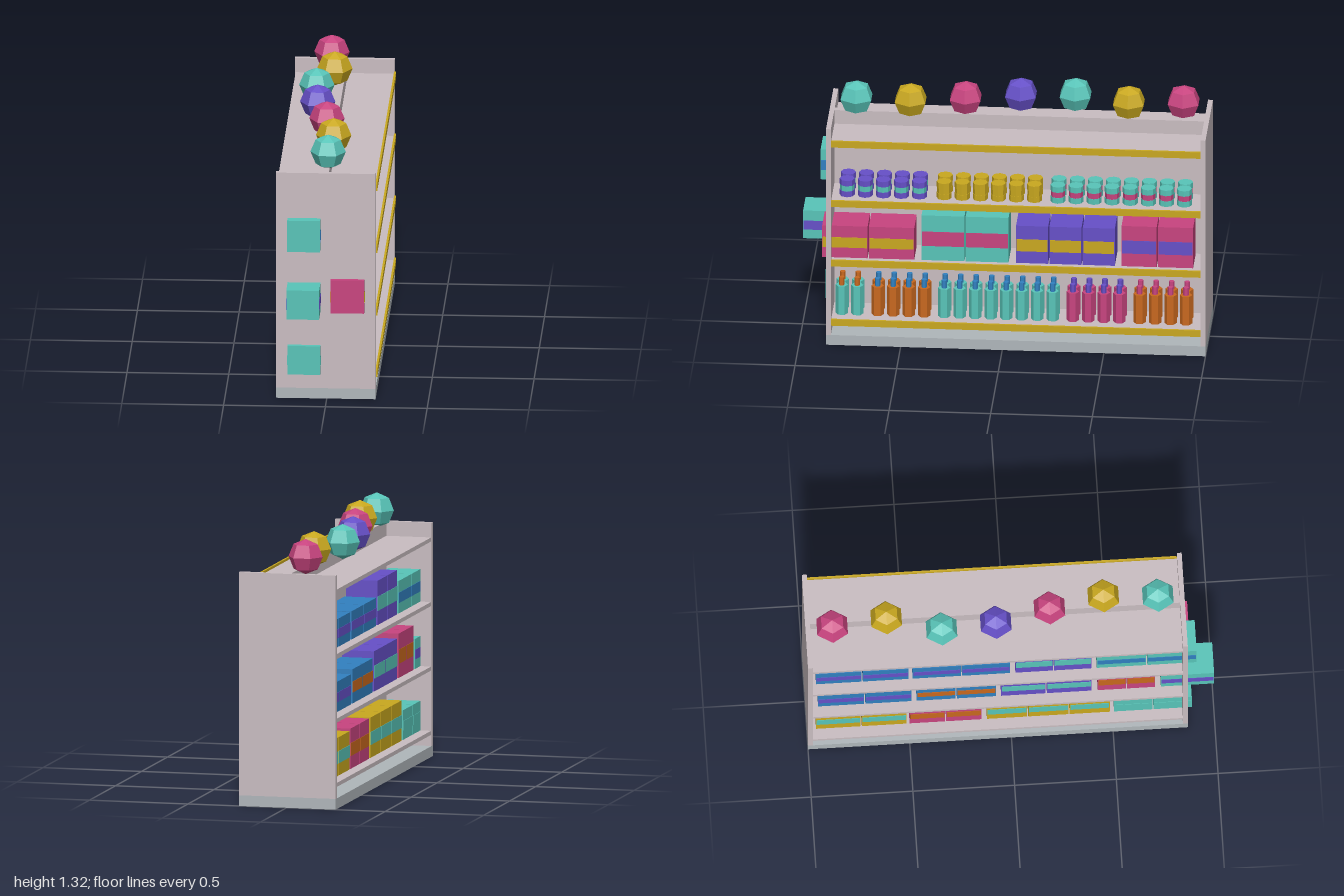
import * as THREE from 'three';

const COLORS = {
  panel: 0xc9bdc1, base: 0xafb6ba, teal: 0x58c4b8, yellow: 0xc9a81f,
  magenta: 0xc8447f, purple: 0x6650c8, blue: 0x3180c0, orange: 0xc8681e,
};

export function createModel() {
  const root = new THREE.Group();
  root.name = 'shopShelf';
  const mats = {};
  for (const [name, color] of Object.entries(COLORS)) {
    mats[name] = new THREE.MeshStandardMaterial({ color, flatShading: true });
    mats[name].name = name;
  }

  const add = (parent, name, geo, color, x = 0, y = 0, z = 0) => {
    const m = new THREE.Mesh(geo, mats[color]);
    m.name = name;
    m.position.set(x, y, z);
    parent.add(m);
    return m;
  };
  // Box given by its minimum and maximum along each axis
  const span = (parent, name, color, x0, x1, y0, y1, z0, z1) =>
    add(parent, name, new THREE.BoxGeometry(x1 - x0, y1 - y0, z1 - z0), color,
      (x0 + x1) / 2, (y0 + y1) / 2, (z0 + z1) / 2);
  const group = (name) => {
    const g = new THREE.Group();
    g.name = name;
    root.add(g);
    return g;
  };

  const MID = -0.005, HALF = 0.245, TOP = 1.16;
  const BACK = -1, FRONT = 0.867, T = 0.024;
  const LEVELS = [0.128, 0.447, 0.767, 1.087];

  // Frame: base, centre wall and paired end panels
  const frame = group('frame');
  span(frame, 'base', 'base', MID - HALF, MID + HALF, 0, 0.053, BACK, FRONT);
  span(frame, 'centreWall', 'panel', -0.02, 0.01, 0.053, TOP, BACK + T, FRONT - T);
  for (const [x0, x1] of [[MID - HALF, MID], [MID, MID + HALF]]) {
    span(frame, 'backEndPanel', 'panel', x0, x1, 0.053, TOP, BACK, BACK + T);
    span(frame, 'frontEndPanel', 'panel', x0, x1, 0.053, TOP, FRONT - T, FRONT);
  }

  // Shelves on both sides, price rails on the left side only
  for (const y of LEVELS) {
    span(frame, 'leftShelf', 'panel', 0.01, 0.237, y - 0.02, y, BACK + T, FRONT - T);
    span(frame, 'rightShelf', 'panel', -0.247, -0.02, y - 0.02, y, BACK + T, FRONT - T);
    span(frame, 'priceRail', 'yellow', 0.237, 0.247, y - 0.022, y + 0.012, -0.976, 0.843);
  }

  // Cartons: [colour, band colour, height, z start, z end, count]
  const cartons = (name, level, x0, x1, rows) => {
    const g = group(name);
    const y = LEVELS[level];
    for (const [color, band, h, z0, z1, n] of rows) {
      const step = (z1 - z0) / n;
      for (let i = 0; i < n; i++) {
        const a = z0 + i * step + 0.003, b = z0 + (i + 1) * step - 0.003;
        span(g, 'carton', color, x0, x1, y, y + h, a, b);
        for (const x of [x0, x1]) {
          span(g, 'cartonBand', band, x - 0.002, x + 0.002,
            y + h * 0.32, y + h * 0.64, a + 0.003, b - 0.003);
        }
      }
    }
  };
  cartons('leftCartons', 1, 0.02, 0.185, [
    ['magenta', 'yellow', 0.17, 0.434, 0.893, 2],
    ['teal', 'magenta', 0.24, -0.03, 0.404, 2],
    ['purple', 'yellow', 0.2, -0.553, -0.061, 3],
    ['magenta', 'purple', 0.216, -0.938, -0.58, 2],
  ]);
  const RX0 = -0.192, RX1 = -0.031;
  cartons('rightLowerCartons', 0, RX0, RX1, [
    ['yellow', 'teal', 0.19, -0.96, -0.51, 2],
    ['magenta', 'orange', 0.2, -0.5, -0.14, 2],
    ['yellow', 'teal', 0.2, -0.12, 0.49, 3],
    ['teal', 'teal', 0.147, 0.505, 0.893, 2],
  ]);
  cartons('rightMiddleCartons', 1, RX0, RX1, [
    ['blue', 'purple', 0.15, -0.95, -0.485, 2],
    ['blue', 'orange', 0.17, -0.465, -0.07, 2],
    ['purple', 'teal', 0.2, -0.05, 0.4, 2],
    ['magenta', 'orange', 0.22, 0.425, 0.713, 2],
    ['teal', 'purple', 0.149, 0.735, 1.003, 1],
  ]);
  cartons('rightUpperCartons', 2, RX0, RX1, [
    ['blue', 'purple', 0.14, -0.96, -0.5, 2],
    ['blue', 'purple', 0.14, -0.485, 0, 2],
    ['purple', 'teal', 0.22, 0.02, 0.4, 2],
    ['teal', 'blue', 0.161, 0.42, 0.917, 2],
  ]);

  // Bottles: [colour, neck colour, first z, count], two rows deep
  const bottles = group('bottles');
  const bodyGeo = new THREE.CylinderGeometry(0.031, 0.031, 0.152, 6);
  const neckGeo = new THREE.CylinderGeometry(0.014, 0.014, 0.042, 6);
  for (const [color, neck, z0, n] of [
    ['teal', 'orange', 0.797, 2], ['orange', 'blue', 0.62, 4], ['teal', 'blue', 0.293, 8],
    ['magenta', 'purple', -0.34, 4], ['orange', 'magenta', -0.668, 4],
  ]) {
    for (let i = 0; i < n; i++) {
      for (const x of [0.065, 0.135]) {
        const z = z0 - i * 0.0762;
        add(bottles, 'bottleBody', bodyGeo, color, x, LEVELS[0] + 0.076, z);
        add(bottles, 'bottleNeck', neckGeo, neck, x, LEVELS[0] + 0.172, z);
      }
    }
  }

  // Cans with a middle band: [colour, band colour, first z, count], two rows deep
  const cans = group('cans');
  const canGeo = new THREE.CylinderGeometry(0.037, 0.037, 0.029, 8);
  const bandGeo = new THREE.CylinderGeometry(0.035, 0.035, 0.029, 8);
  for (const [color, band, z0, n] of [
    ['purple', 'teal', 0.77, 5], ['yellow', 'yellow', 0.293, 6], ['teal', 'magenta', -0.267, 8],
  ]) {
    for (let i = 0; i < n; i++) {
      for (const x of [0.06, 0.138]) {
        const z = z0 - i * 0.0888;
        add(cans, 'canBottom', canGeo, color, x, LEVELS[2] + 0.0145, z);
        add(cans, 'canBand', bandGeo, band, x, LEVELS[2] + 0.0435, z);
        add(cans, 'canTop', canGeo, color, x, LEVELS[2] + 0.0725, z);
      }
    }
  }

  // Faceted balls along the top
  const balls = group('balls');
  const ballGeo = new THREE.SphereGeometry(0.087, 6, 4);
  [['teal', 0], ['yellow', 0.014], ['magenta', -0.033], ['purple', -0.092],
    ['teal', -0.11], ['yellow', -0.035], ['magenta', -0.063]].forEach(([color, x], i) => {
    add(balls, 'ball', ballGeo, color, x, 1.23, 0.735 - i * 0.2675);
  });

  return root;
}
